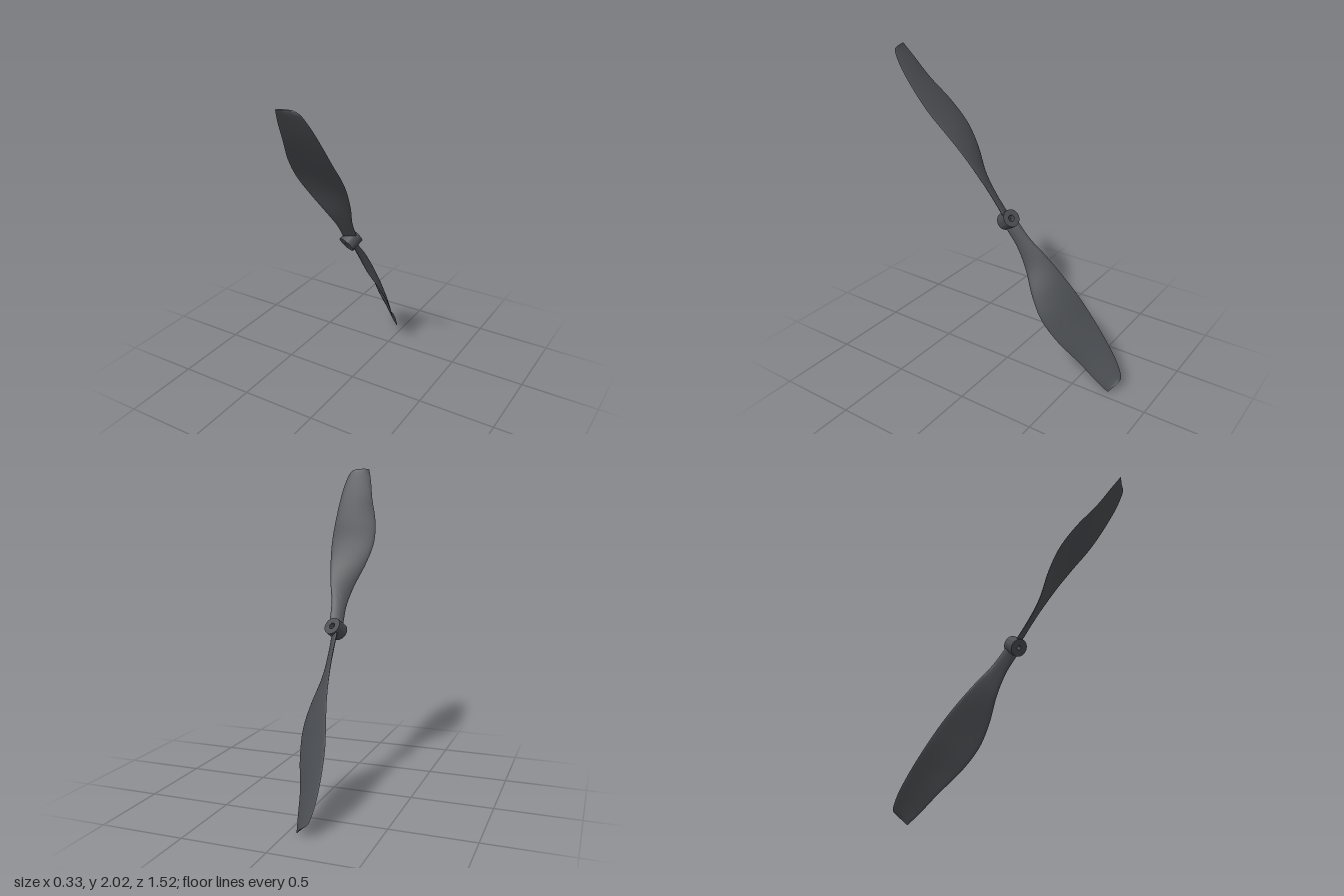
import * as THREE from 'three';
import { toCreasedNormals } from 'three/addons/utils/BufferGeometryUtils.js';

// Blade edge stations: [across, along hub axis, radius]
const TRAILING = [
  [-0.034, -0.02, 0.035], [-0.038, -0.021, 0.17], [-0.064, -0.032, 0.31], [-0.127, -0.04, 0.48],
  [-0.158, -0.046, 0.63], [-0.145, -0.046, 0.8], [-0.097, -0.038, 1.0], [-0.074, -0.027, 1.14],
  [-0.058, -0.018, 1.22], [-0.052, -0.014, 1.247],
];
const LEADING = [
  [0.034, 0.03, 0.035], [0.036, 0.04, 0.17], [0.053, 0.062, 0.31], [0.073, 0.075, 0.48],
  [0.09, 0.072, 0.63], [0.104, 0.056, 0.8], [0.101, 0.048, 1.0], [0.084, 0.044, 1.14],
  [0.055, 0.04, 1.22], [0.027, 0.036, 1.232],
];

// Twisted blade lofted from thin cambered sections between the two edges
function bladeGeometry(rings = 54, sides = 24) {
  const curve = (pts) => new THREE.CatmullRomCurve3(pts.map((p) => new THREE.Vector3(...p)));
  const trailing = curve(TRAILING), leading = curve(LEADING);
  const pos = [], index = [];
  const up = new THREE.Vector3(), chord = new THREE.Vector3();
  for (let i = 0; i <= rings; i++) {
    const f = i / rings;
    const l = trailing.getPoint(f), r = leading.getPoint(f);
    chord.subVectors(r, l);
    up.set(-chord.y, chord.x, 0).normalize();
    const half = THREE.MathUtils.lerp(0.012, 0.003, f);
    const camber = 0.035 * chord.length() * Math.min(1, f * 3);
    for (let j = 0; j < sides; j++) {
      const t = (j / sides) * Math.PI * 2;
      const s = (1 - Math.cos(t)) / 2;
      const p = l.clone().addScaledVector(chord, s)
        .addScaledVector(up, half * Math.sin(t) + camber * 4 * s * (1 - s));
      pos.push(p.x, p.y, p.z);
    }
  }
  for (let i = 0; i < rings; i++) {
    for (let j = 0; j < sides; j++) {
      const k = (j + 1) % sides;
      const a = i * sides + j, b = i * sides + k;
      index.push(a, a + sides, b + sides, a, b + sides, b);
    }
  }
  // Tip cap
  const end = rings * sides;
  for (let j = 1; j < sides - 1; j++) index.push(end, end + j + 1, end + j);
  const g = new THREE.BufferGeometry();
  g.setAttribute('position', new THREE.Float32BufferAttribute(pos, 3));
  g.setIndex(index);
  return toCreasedNormals(g, 0.9);
}

export function createModel() {
  const darkGrey = new THREE.MeshStandardMaterial({ color: 0x4a4d51 });
  darkGrey.name = 'darkGrey';

  const model = new THREE.Group();
  model.name = 'propeller';
  const rotor = new THREE.Group();
  rotor.name = 'rotor';
  model.add(rotor);

  // Hub: short cylinder with a stepped shaft bore, closed profile
  const profile = [
    [0.013, -0.043], [0.055, -0.043], [0.055, 0.043], [0.02, 0.043],
    [0.02, 0.0], [0.013, 0.0], [0.013, -0.043],
  ].map(([x, y]) => new THREE.Vector2(x, y));
  const hub = new THREE.Mesh(toCreasedNormals(new THREE.LatheGeometry(profile, 40), 0.6), darkGrey);
  hub.name = 'hub';
  rotor.add(hub);

  // Two blades, half a turn apart
  const blade = bladeGeometry();
  ['upperBlade', 'lowerBlade'].forEach((name, i) => {
    const mesh = new THREE.Mesh(blade, darkGrey);
    mesh.name = name;
    mesh.rotation.y = i * Math.PI;
    rotor.add(mesh);
  });

  // Tilt the rotor: Y is the shaft axis, Z runs along the upper blade
  const span = new THREE.Vector3(0.07, 0.8, 0.6).normalize();
  const shaft = new THREE.Vector3(0.3, 0.57, -0.77);
  const across = new THREE.Vector3().crossVectors(shaft, span).normalize();
  shaft.crossVectors(span, across);
  rotor.quaternion.setFromRotationMatrix(new THREE.Matrix4().makeBasis(across, shaft, span));
  rotor.position.set(-0.01, 1.01, 0);
  return model;
}
